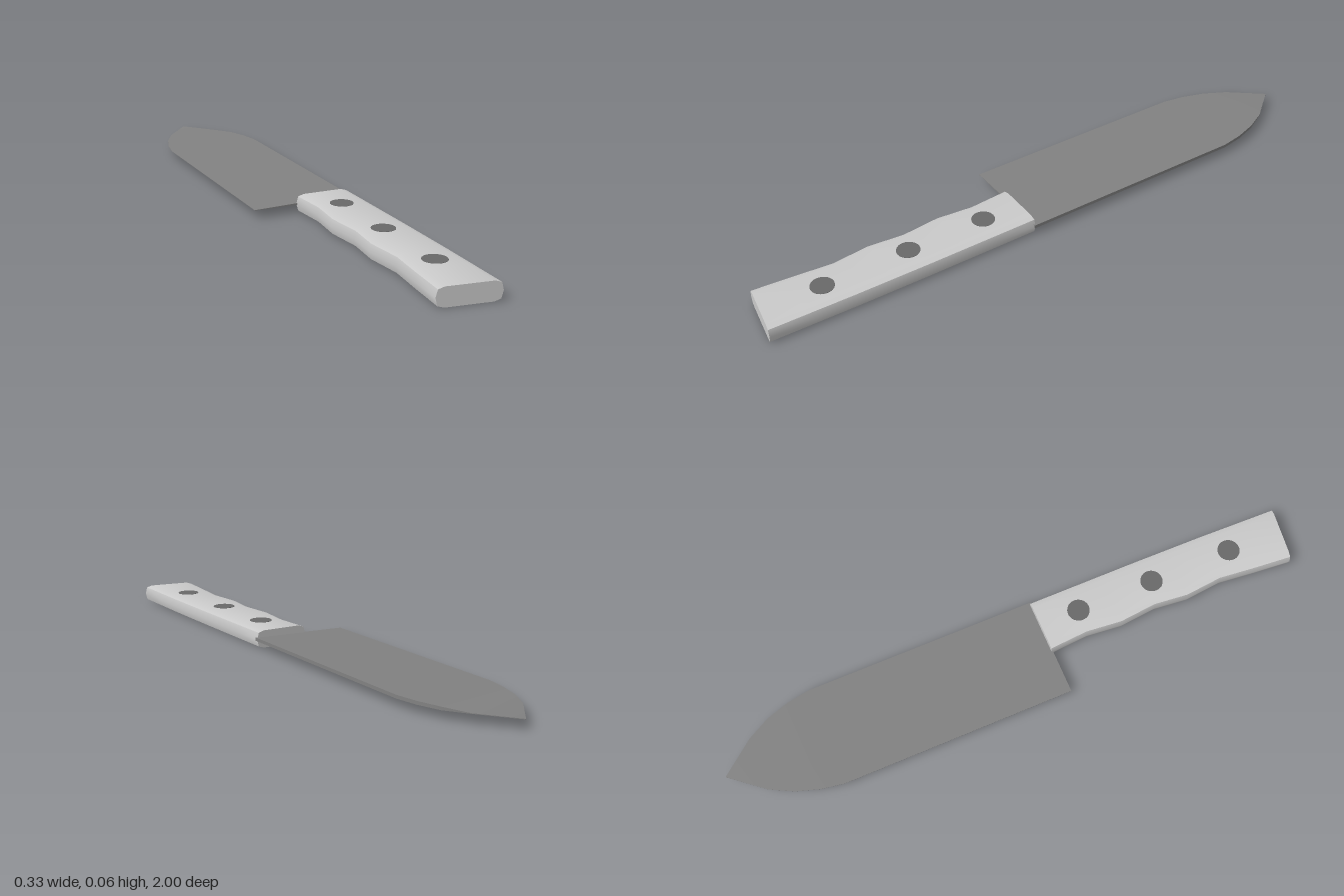
import * as THREE from 'three';
import { toCreasedNormals } from 'three/addons/utils/BufferGeometryUtils.js';

// Skins closed rings of [x, y, z], counter-clockwise seen from +z, ordered toward +z
function loft(rings) {
  const n = rings[0].length, last = (rings.length - 1) * n, index = [];
  for (let i = 0; i < last; i += n) {
    for (let j = 0; j < n; j++) {
      const k = (j + 1) % n;
      index.push(i + j, i + k, i + n + k, i + j, i + n + k, i + n + j);
    }
  }
  for (let j = 1; j < n - 1; j++) {
    index.push(0, j + 1, j, last, last + j, last + j + 1);
  }
  const geometry = new THREE.BufferGeometry();
  geometry.setAttribute('position', new THREE.Float32BufferAttribute(rings.flat(2), 3));
  geometry.setIndex(index);
  return toCreasedNormals(geometry, 0.6);
}

export function createModel() {
  const group = new THREE.Group();
  const steel = new THREE.MeshStandardMaterial({ color: 0x828282 });
  const grip = new THREE.MeshStandardMaterial({ color: 0xcccccc });
  const rivetSteel = new THREE.MeshStandardMaterial({ color: 0x696969 });

  function add(name, geometry, material) {
    const mesh = new THREE.Mesh(geometry, material);
    mesh.name = name;
    group.add(mesh);
    return mesh;
  }

  // Blade: wedge from sharp edge (-x) to thick spine (+x); [z, half width, half spine thickness]
  const blade = [
    [-1, 0.001, 0.0008], [-0.89, 0.09, 0.001], [-0.815, 0.129, 0.005],
    [-0.74, 0.153, 0.0055], [-0.665, 0.166, 0.0055], [0.115, 0.166, 0.0055],
  ].map(([z, w, t]) => {
    const mid = (x) => 0.0305 + 0.012 * x;
    return [
      [-w, mid(-w) - 0.0006, z], [w, mid(w) - t, z],
      [w, mid(w) + t, z], [-w, mid(-w) + 0.0006, z],
    ];
  });
  add('blade', loft(blade), steel);

  // Handle: bevelled section with finger grooves on the -x side; [left x, right x, left z, right z]
  const bevel = [[0.025, 0.001], [0.006, 0.007], [0, 0.03], [0.006, 0.053], [0.025, 0.059]];
  const handle = [
    [-0.021, 0.162, 0.11, 0.11], [-0.012, 0.162, 0.24, 0.24],
    [-0.024, 0.162, 0.36, 0.36], [-0.012, 0.162, 0.485, 0.485],
    [-0.024, 0.161, 0.6, 0.6], [-0.012, 0.16, 0.725, 0.725],
    [-0.025, 0.157, 0.85, 0.86], [-0.036, 0.154, 0.975, 1],
  ].map(([xl, xr, zl, zr]) => {
    const point = (x, y) => [x, y, zl + (zr - zl) * (x - xl) / (xr - xl)];
    return [
      ...bevel.map(([d, y]) => point(xr - d, y)),
      ...[...bevel].reverse().map(([d, y]) => point(xl + d, y)),
    ];
  });
  add('handle', loft(handle), grip);

  // Rivets pass right through the handle
  for (const z of [0.245, 0.51, 0.795]) {
    add('rivet', new THREE.CylinderGeometry(0.037, 0.037, 0.06, 32), rivetSteel)
      .position.set(0.071, 0.03, z);
  }
  return group;
}
